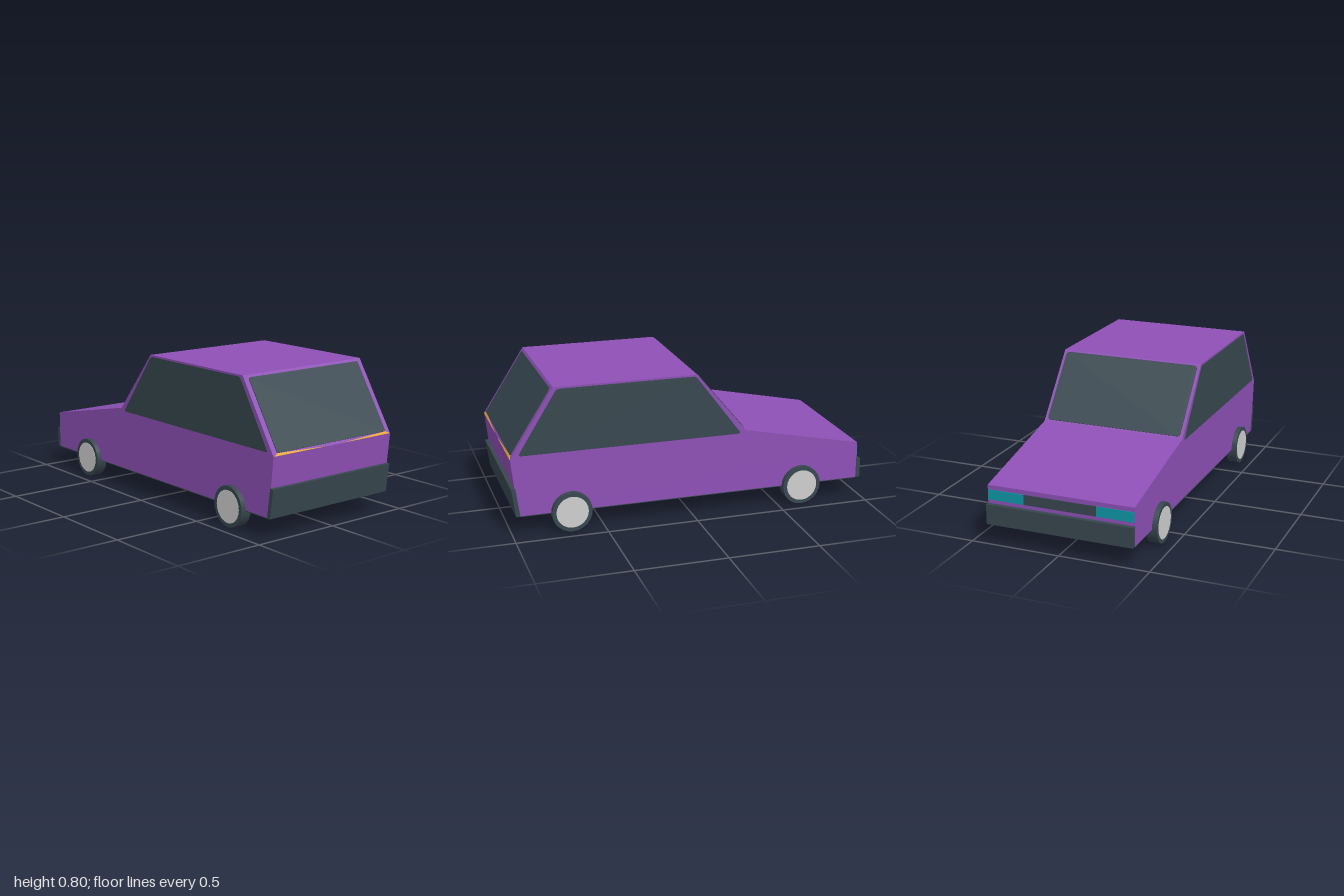
import * as THREE from 'three';

const HALF = 0.41; // half body width

export function createModel() {
  const car = new THREE.Group();
  car.name = 'car';

  const mat = (name, color) => {
    const m = new THREE.MeshStandardMaterial({ color });
    m.name = name;
    return m;
  };
  const paint = mat('purple paint', 0x8e50b6);
  const slate = mat('dark slate', 0x37474f);
  const hubGrey = mat('light grey', 0xcfcfcf);
  const teal = mat('teal lamp', 0x0e97a7);
  const amber = mat('amber lamp', 0xe6a838);

  const add = (name, geometry, material, parent = car) => {
    const mesh = new THREE.Mesh(geometry, material);
    mesh.name = name;
    parent.add(mesh);
    return mesh;
  };

  // Side profile given as [z, y] points, extruded across the width
  const prism = (points, half) => {
    const shape = new THREE.Shape(points.map(([z, y]) => new THREE.Vector2(z, y)));
    return new THREE.ExtrudeGeometry(shape, { depth: half * 2, bevelEnabled: false })
      .translate(0, 0, -half).rotateY(-Math.PI / 2);
  };

  // Closed outline with softened corners
  const rounded = (points, r) => {
    const shape = new THREE.Shape();
    const v = points.map(([x, y]) => new THREE.Vector2(x, y));
    v.forEach((p, i) => {
      const prev = v[(i + v.length - 1) % v.length], next = v[(i + 1) % v.length];
      const a = prev.clone().sub(p).setLength(r).add(p);
      const b = next.clone().sub(p).setLength(r).add(p);
      if (i) shape.lineTo(a.x, a.y); else shape.moveTo(a.x, a.y);
      shape.quadraticCurveTo(p.x, p.y, b.x, b.y);
    });
    shape.closePath();
    return shape;
  };

  // Thin plate laid on a plane: origin, and its right and up directions
  const plate = (name, shape, material, origin, right, up) => {
    const geo = new THREE.ExtrudeGeometry(shape, { depth: 0.004, bevelEnabled: false, curveSegments: 4 });
    const normal = right.clone().cross(up).normalize();
    const m = new THREE.Matrix4().makeBasis(right, up, normal).setPosition(origin);
    return add(name, geo.applyMatrix4(m), material);
  };
  const V = (x, y, z) => new THREE.Vector3(x, y, z);

  // Body shell
  const sill = 0.11;
  add('body', prism([
    [0.965, sill], [0.998, 0.43], [0.76, 0.802], [-0.02, 0.802],
    [-0.305, 0.46], [-0.975, 0.32], [-0.975, sill],
  ], HALF), paint);
  add('underside', new THREE.BoxGeometry(HALF * 2, 0.005, 1.938).translate(0, sill - 0.002, -0.005), slate);

  // Bumpers
  add('noseBumper', new THREE.BoxGeometry(HALF * 2, 0.11, 0.025).translate(0, 0.165, -0.9875), slate);
  add('tailBumper', prism([[0.955, 0.108], [0.978, 0.108], [1, 0.265], [0.977, 0.267]], HALF + 0.001), slate);

  // Windscreen and tailgate glass on their sloping faces
  const tailUp = V(0, 0.372, -0.238).normalize();
  plate('tailgateGlass',
    rounded([[-0.38, 0.016], [0.38, 0.016], [0.38, 0.425], [-0.38, 0.425]], 0.012),
    slate, V(0, 0.43, 0.998), V(1, 0, 0), tailUp);
  const screenUp = V(0, 0.342, 0.285).normalize();
  plate('windscreen',
    rounded([[-0.393, 0.012], [0.393, 0.012], [0.393, 0.432], [-0.393, 0.432]], 0.02),
    slate, V(0, 0.46, -0.305), V(-1, 0, 0), screenUp);

  for (const s of [-1, 1]) {
    const side = s < 0 ? 'right' : 'left';

    // Side glass
    const outline = [[0.957, 0.445], [0.742, 0.792], [-0.014, 0.792], [-0.276, 0.445]]
      .map(([z, y]) => [-s * z, y]);
    if (s < 0) outline.reverse();
    plate(side + 'SideGlass', rounded(outline, 0.018), slate,
      V(s * (HALF - 0.002), 0, 0), V(0, 0, -s), V(0, 1, 0));

    // Amber lamp sliver under the tailgate glass
    const sliver = new THREE.Shape([[0.06, 0], [0.405, 0], [0.38, 0.015]]
      .map(([x, y]) => new THREE.Vector2(s * x, y)));
    plate(side + 'TailLamp', sliver, amber, V(0, 0.43, 0.997), V(1, 0, 0), tailUp);

    // Nose lamp
    add(side + 'HeadLamp', new THREE.BoxGeometry(0.205, 0.055, 0.006)
      .translate(s * 0.3055, 0.268, -0.976), teal);

    // Wheels
    for (const [end, z] of [['tail', 0.68], ['nose', -0.633]]) {
      const wheel = new THREE.Group();
      wheel.name = side + (end === 'tail' ? 'TailWheel' : 'NoseWheel');
      wheel.position.set(s * 0.406, 0.11, z);
      wheel.rotation.z = -s * Math.PI / 2;
      add('tyre', new THREE.CylinderGeometry(0.11, 0.11, 0.062, 24), slate, wheel);
      add('hubcap', new THREE.CylinderGeometry(0.088, 0.088, 0.004, 24).translate(0, 0.031, 0), hubGrey, wheel);
      car.add(wheel);
    }
  }

  // Grille between the nose lamps
  add('grille', new THREE.BoxGeometry(0.406, 0.055, 0.006).translate(0, 0.268, -0.976), slate);

  return car;
}
